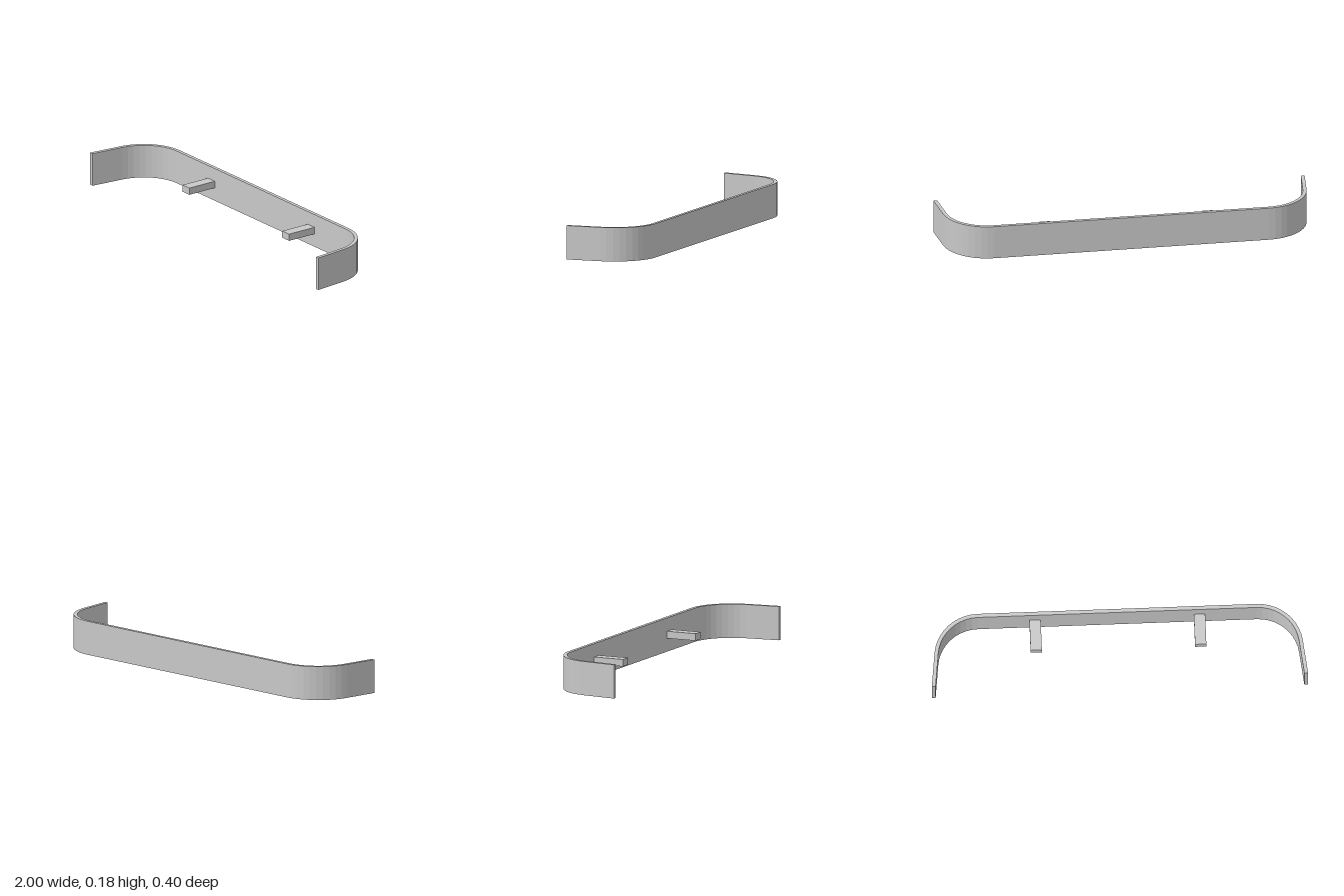
import * as THREE from 'three';

const HEIGHT = 0.182, THICK = 0.02;

// One edge of the band in plan (x, -z): straight arm, faceted corner, mirrored on the other side
function bandEdge(inset) {
  const tilt = THREE.MathUtils.degToRad(6.5), steps = 10;
  const cx = 0.74, cz = 0.04, r = 0.24 - inset;
  const half = [];
  const endX = cx + r * Math.cos(tilt), endZ = cz - r * Math.sin(tilt);
  half.push([endX + (0.2 - endZ) * Math.tan(tilt), 0.2]);
  for (let i = 0; i <= steps; i++) {
    const a = tilt + (Math.PI / 2 - tilt) * i / steps;
    half.push([cx + r * Math.cos(a), cz - r * Math.sin(a)]);
  }
  const right = half.map(([x, z]) => new THREE.Vector2(x, -z));
  const left = half.map(([x, z]) => new THREE.Vector2(-x, -z)).reverse();
  return [...right, ...left];
}

export function createModel() {
  const group = new THREE.Group();
  group.name = 'bumper';
  const grey = new THREE.MeshStandardMaterial({ color: 0xc8c8c8 });
  grey.name = 'light grey';

  // Wraparound band, extruded upwards
  const shape = new THREE.Shape([...bandEdge(0), ...bandEdge(THICK).reverse()]);
  const bandGeo = new THREE.ExtrudeGeometry(shape, { depth: HEIGHT, bevelEnabled: false });
  bandGeo.rotateX(-Math.PI / 2);
  const band = new THREE.Mesh(bandGeo, grey);
  band.name = 'bumperBand';
  group.add(band);

  // Two mounting brackets on the inner face
  const z0 = -0.185, z1 = -0.01;
  for (const side of [-1, 1]) {
    const bracket = new THREE.Mesh(new THREE.BoxGeometry(0.06, 0.038, z1 - z0), grey);
    bracket.position.set(side * 0.437, HEIGHT / 2, (z0 + z1) / 2);
    bracket.name = side > 0 ? 'leftBracket' : 'rightBracket';
    group.add(bracket);
  }
  return group;
}
